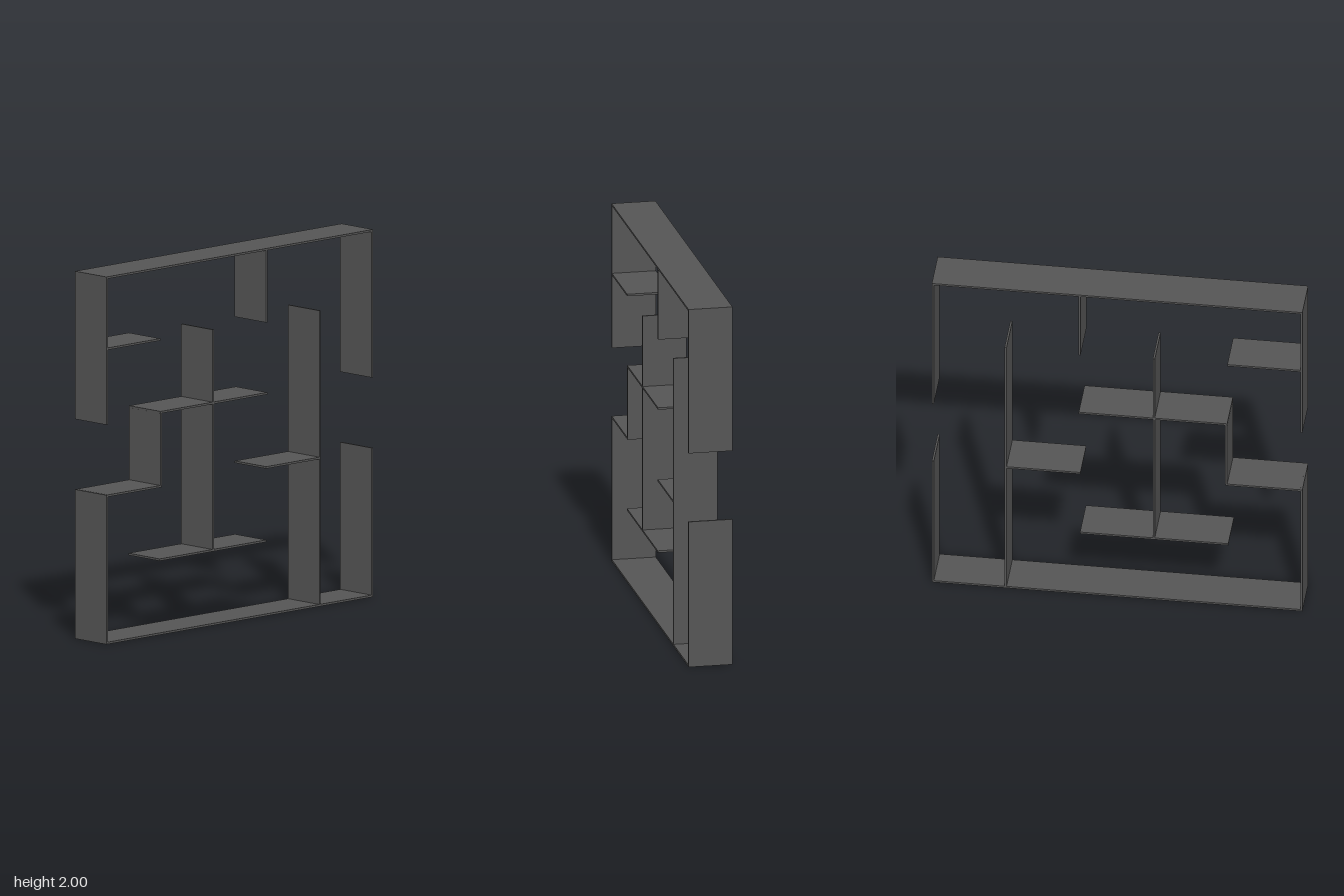
import * as THREE from 'three';

const T = 0.011; // wall thickness
const DEPTH = 0.24;

export function createModel() {
  const group = new THREE.Group();
  group.name = 'mazeShelf';
  const material = new THREE.MeshStandardMaterial({ color: 0x555555 });

  function board(name, x0, x1, y0, y1) {
    const mesh = new THREE.Mesh(new THREE.BoxGeometry(x1 - x0, y1 - y0, DEPTH), material);
    mesh.position.set((x0 + x1) / 2, (y0 + y1) / 2, 0);
    mesh.name = name;
    group.add(mesh);
  }
  // Horizontal board centred on height y, and upright centred on x
  const shelf = (name, y, x0, x1) => board(name, x0, x1, y - T / 2, y + T / 2);
  const upright = (name, x, y0, y1) => board(name, x - T / 2, x + T / 2, y0, y1);

  // Outer frame, with a gap in each side
  const e = 1 - T / 2;
  shelf('topBoard', 2 - T / 2, -1, 1);
  shelf('bottomBoard', T / 2, -1, 1);
  for (const [side, s] of [['right', -1], ['left', 1]]) {
    upright(side + 'UpperSide', s * e, 1.195, 2 - T);
    upright(side + 'LowerSide', s * e, T, 0.812);
  }

  // Inner shelves
  shelf('upperCornerShelf', 1.607, -1 + T, -0.595);
  shelf('stepLowerShelf', 0.807, -1 + T, -0.585);
  shelf('crossShelf', 1.21, -0.594, 0.207);
  shelf('sideShelf', 0.807, 0.198, 0.597);
  shelf('baseShelf', 0.408, -0.6, 0.2);

  // Inner uprights
  upright('stepUpright', -0.589, 0.812, 1.205);
  upright('centreUpright', -0.198, 0.413, 1.61);
  upright('hangingUpright', 0.203, 1.597, 2 - T);
  upright('tallUpright', 0.602, T, 1.61);

  return group;
}
